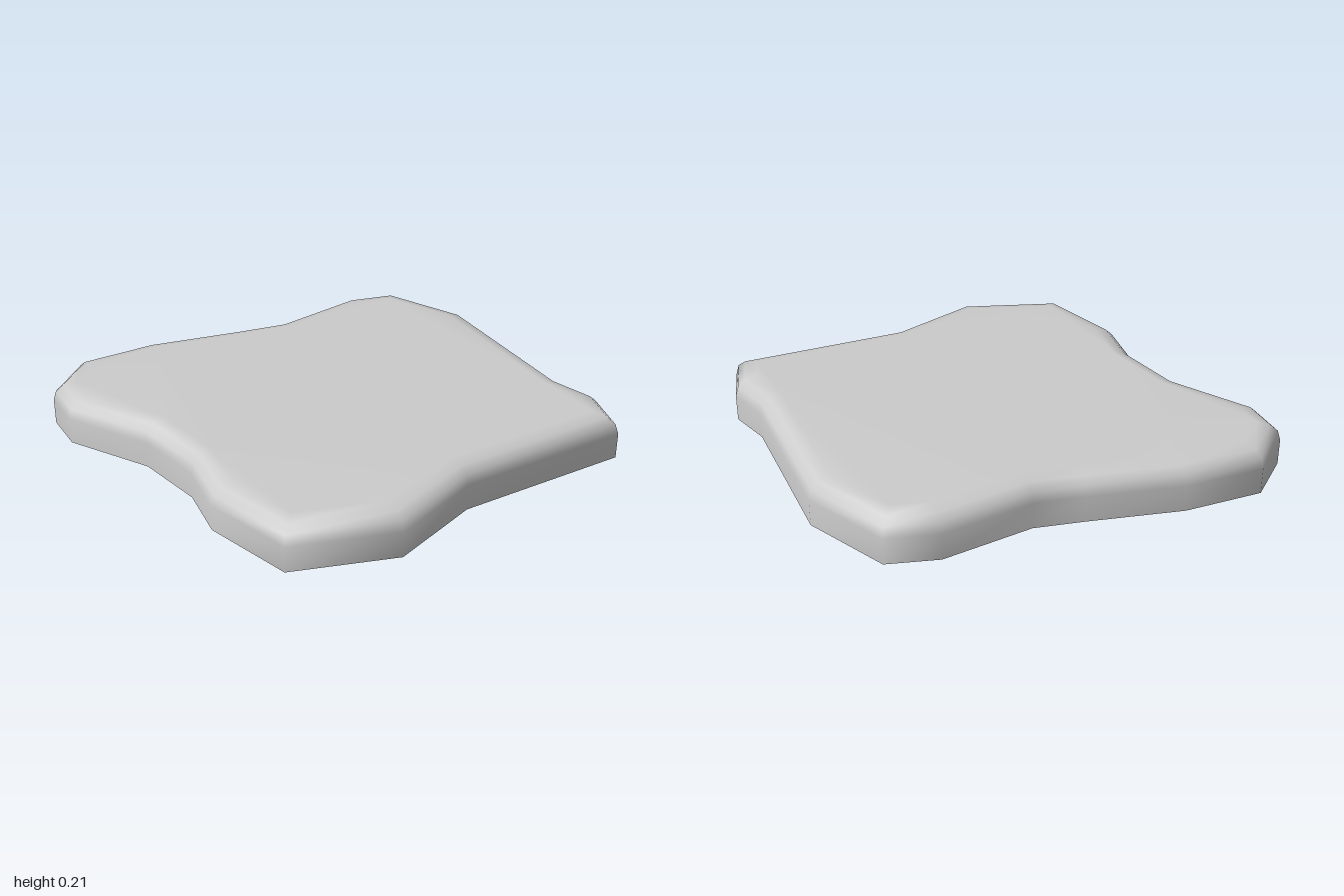
import * as THREE from 'three';

// Irregular outline as [x, z], clockwise seen from above
const OUTLINE = [
  [-1, -0.58], [-0.985, -0.775], [-0.78, -0.935], [-0.425, -0.905], [-0.01, -0.785], [0.2, -0.73],
  [0.62, -0.76], [0.84, -0.685], [0.995, -0.3], [0.94, 0.46], [0.985, 0.66], [0.91, 0.875],
  [0.12, 0.82], [-0.295, 0.935], [-0.735, 0.755], [-0.825, 0.35], [-0.775, 0.1], [-0.815, -0.215],
].map(([x, z]) => new THREE.Vector2(x, z));

// Rim section as [inset, height]: straight wall, then a rounded shoulder
const SECTION = [[0, 0], [0, 0.12], [0.013, 0.165], [0.045, 0.195], [0.1, 0.21]];

// Moves every edge inward by d, with mitred corners
function insetOutline(points, d) {
  const n = points.length;
  const inward = (a, b) => new THREE.Vector2(a.y - b.y, b.x - a.x).normalize();
  return points.map((p, i) => {
    const n1 = inward(points[(i + n - 1) % n], p);
    const n2 = inward(p, points[(i + 1) % n]);
    const mitre = n1.clone().add(n2).divideScalar(1 + n1.dot(n2));
    return p.clone().addScaledVector(mitre, d);
  });
}

function slabGeometry() {
  const n = OUTLINE.length;
  const positions = [];
  const index = [];
  let ring;

  // Rings of the wall and shoulder
  SECTION.forEach(([inset, y], level) => {
    ring = insetOutline(OUTLINE, inset);
    ring.forEach((p) => positions.push(p.x, y, p.y));
    if (level === 0) return;
    for (let i = 0; i < n; i++) {
      const a = (level - 1) * n + i;
      const b = (level - 1) * n + (i + 1) % n;
      index.push(a, a + n, b, b, a + n, b + n);
    }
  });

  // Flat top, sharing the last ring so the shading stays smooth
  const base = (SECTION.length - 1) * n;
  for (const [a, b, c] of THREE.ShapeUtils.triangulateShape(ring, [])) {
    const turn = ring[b].clone().sub(ring[a]).cross(ring[c].clone().sub(ring[a]));
    if (turn < 0) index.push(base + a, base + b, base + c);
    else index.push(base + a, base + c, base + b);
  }

  const geometry = new THREE.BufferGeometry();
  geometry.setAttribute('position', new THREE.Float32BufferAttribute(positions, 3));
  geometry.setIndex(index);
  geometry.computeVertexNormals();
  return geometry;
}

export function createModel() {
  const group = new THREE.Group();
  group.name = 'stoneSlab';
  // Hollow shell, open underneath
  const material = new THREE.MeshStandardMaterial({ color: 0xcccccc, side: THREE.DoubleSide });
  const slab = new THREE.Mesh(slabGeometry(), material);
  slab.name = 'slabShell';
  group.add(slab);
  return group;
}
